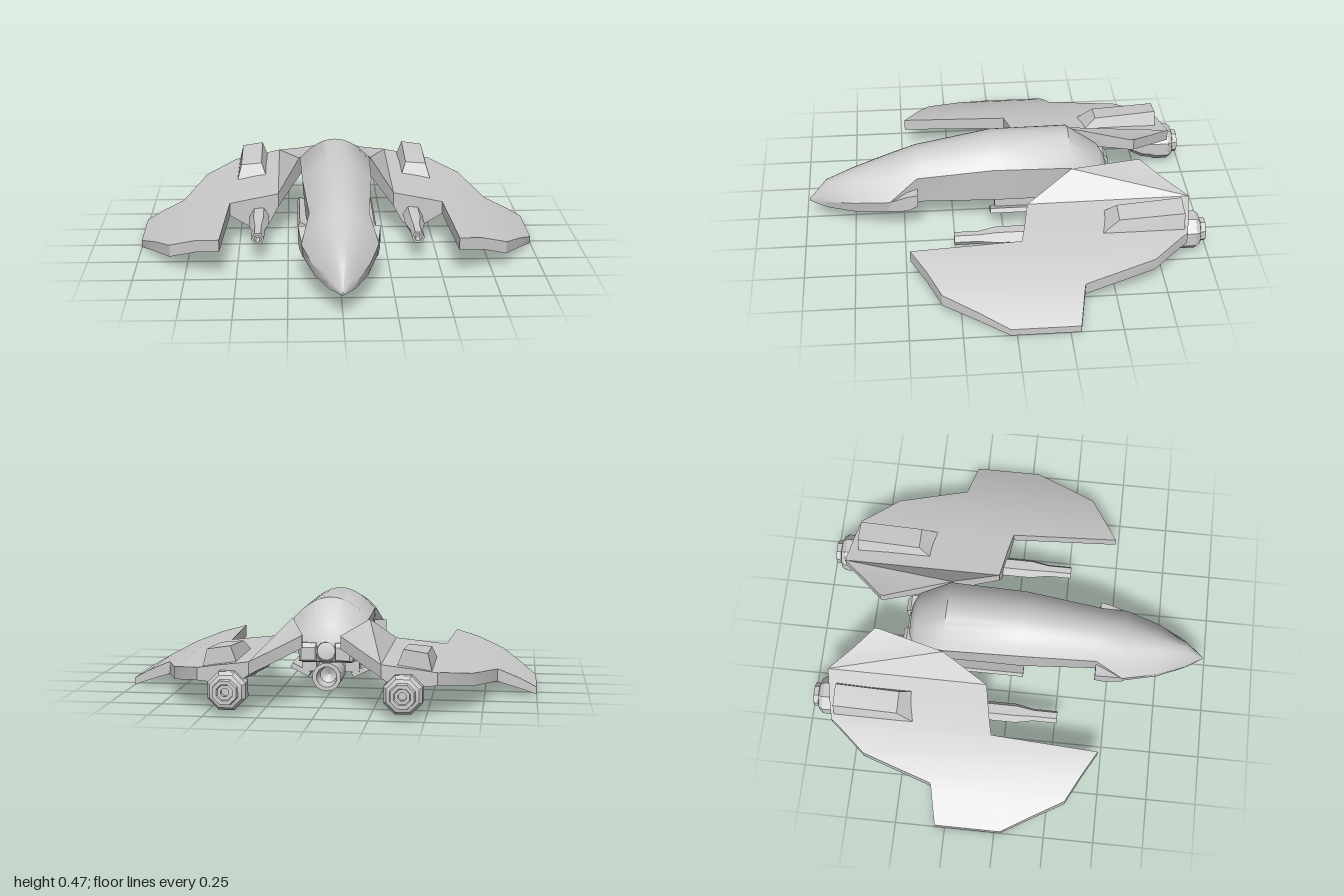
import * as THREE from 'three';
import { toCreasedNormals } from 'three/addons/utils/BufferGeometryUtils.js';

const material = new THREE.MeshStandardMaterial({ color: 0xcccccc });

// Skin a row of rings (equal point counts) and cap both ends
function loft(rings, crease = 0.5) {
  const n = rings[0].length, last = (rings.length - 1) * n, index = [];
  for (let i = 0; i < rings.length - 1; i++) {
    for (let j = 0; j < n; j++) {
      const a = i * n + j, b = i * n + (j + 1) % n;
      index.push(a, b, a + n, b, b + n, a + n);
    }
  }
  for (let j = 1; j < n - 1; j++) {
    index.push(0, j + 1, j);
    index.push(last, last + j, last + j + 1);
  }
  const g = new THREE.BufferGeometry();
  g.setAttribute('position', new THREE.Float32BufferAttribute(rings.flat(2), 3));
  g.setIndex(index);
  return toCreasedNormals(g, crease);
}

// Rectangular ring across z: [x0, x1, y0, y1, z]
const rect = ([x0, x1, y0, y1, z]) => [[x0, y0, z], [x1, y0, z], [x1, y1, z], [x0, y1, z]];

// Turned part along z, profile points are [radius, z] from rear to front
function turned(profile, sides, crease, x, y) {
  const g = new THREE.LatheGeometry(profile.map(p => new THREE.Vector2(...p)), sides, Math.PI / sides);
  g.rotateX(Math.PI / 2).translate(x, y, 0);
  g.deleteAttribute('uv');
  g.deleteAttribute('normal');
  return toCreasedNormals(g, crease);
}

// Mirrored copy across x with the corner order reversed
function mirrored(source) {
  const g = source.clone().scale(-1, 1, 1);
  for (const name of ['position', 'normal']) {
    const a = g.attributes[name];
    for (let i = 0; i < a.count; i += 3) {
      const p = [a.getX(i), a.getY(i), a.getZ(i)];
      a.setXYZ(i, a.getX(i + 1), a.getY(i + 1), a.getZ(i + 1));
      a.setXYZ(i + 1, ...p);
    }
  }
  return g;
}

export function createModel() {
  const model = new THREE.Group();
  model.name = 'starfighter';
  const add = (name, geometry) => {
    const mesh = new THREE.Mesh(geometry, material);
    mesh.name = name;
    model.add(mesh);
  };
  const addPair = (name, geometry) => {
    add(name + 'Left', geometry);
    add(name + 'Right', mirrored(geometry));
  };

  // Fuselage: z, top y, crease half width, crease y, bottom half width, bottom y
  const hull = [
    [-0.53, 0.30, 0.10, 0.25, 0.09, 0.18],
    [-0.50, 0.35, 0.14, 0.28, 0.12, 0.17],
    [-0.34, 0.465, 0.185, 0.36, 0.16, 0.17],
    [0.05, 0.465, 0.175, 0.36, 0.16, 0.17],
    [0.43, 0.395, 0.145, 0.31, 0.13, 0.16],
    [0.57, 0.345, 0.185, 0.20, 0.175, 0.135],
    [0.75, 0.28, 0.135, 0.17, 0.125, 0.112],
    [0.89, 0.225, 0.07, 0.14, 0.06, 0.10],
    [0.98, 0.115, 0.004, 0.11, 0.004, 0.105],
  ];
  add('fuselage', loft(hull.map(([z, top, w, cy, bw, by]) => {
    const ring = [[bw, by, z]];
    for (let i = 0; i <= 14; i++) {
      const t = 1 - i / 7;
      ring.push([w * t, cy + (top - cy) * (1 - t * t), z]);
    }
    ring.push([-bw, by, z]);
    return ring;
  }), 0.6));

  // Wing: x, rear z, front z, rear top y, front top y, rear and front thickness
  const wing = [
    [0.09, -0.70, -0.68, 0.33, 0.33, 0.06, 0.06],
    [0.19, -0.80, -0.34, 0.285, 0.36, 0.06, 0.10],
    [0.30, -0.92, -0.11, 0.24, 0.235, 0.06, 0.07],
    [0.35, -0.91, -0.10, 0.232, 0.228, 0.09, 0.155],
    [0.46, -0.89, -0.08, 0.216, 0.213, 0.08, 0.14],
    [0.55, -0.87, -0.06, 0.20, 0.20, 0.06, 0.065],
    [0.58, -0.83, 0.48, 0.194, 0.194, 0.06, 0.06],
    [0.70, -0.69, 0.41, 0.168, 0.168, 0.06, 0.06],
    [0.81, -0.34, 0.35, 0.128, 0.128, 0.06, 0.06],
    [0.83, -0.335, 0.34, 0.12, 0.12, 0.06, 0.06],
    [0.92, -0.317, 0.175, 0.08, 0.08, 0.05, 0.05],
    [1.00, -0.30, 0.03, 0.036, 0.036, 0.036, 0.036],
  ];
  addPair('wing', loft(wing.map(([x, zr, zf, yr, yf, tr, tf]) =>
    [[x, yf - tf, zf], [x, yr - tr, zr], [x, yr, zr], [x, yf, zf]]), 0.6));

  // Raised housing on each wing
  addPair('wingHousing', loft([
    [0.35, 0.53, 0.18, 0.19, -0.86],
    [0.35, 0.53, 0.18, 0.19, -0.43],
  ].map(([x0, x1, y0, , z]) => {
    const front = z > -0.5;
    return [[x0, y0, z], [x1, y0, z],
      [0.505, front ? 0.265 : 0.285, front ? -0.54 : z],
      [0.395, front ? 0.275 : 0.302, front ? -0.54 : z]];
  }), 0.2));

  // Engines with stepped, hollow exhausts
  addPair('engine', turned([
    [0, -0.95], [0.02, -0.95], [0.02, -0.975], [0.036, -0.975], [0.04, -0.985],
    [0.058, -0.985], [0.062, -0.96], [0.08, -0.955], [0.095, -0.935], [0.095, -0.87],
    [0.085, -0.84], [0.08, -0.80], [0.05, -0.74], [0, -0.72],
  ], 8, 0.3, 0.4, 0.107));

  // Wing guns with hollow muzzles
  addPair('gun', turned([
    [0, -0.4], [0.05, -0.4], [0.05, 0.05], [0.032, 0.14], [0.032, 0.26],
    [0.02, 0.26], [0.016, 0.2], [0, 0.2],
  ], 6, 0.3, 0.4, 0.12));

  // Cheek intakes behind the nose
  addPair('cheekIntake', loft([
    [0.12, 0.20, 0.18, 0.245, 0.43],
    [0.12, 0.195, 0.15, 0.235, 0.48],
    [0.12, 0.18, 0.14, 0.195, 0.575],
  ].map(rect), 0.2));

  // Tilted plates along the belly
  const plate = new THREE.BoxGeometry(0.1, 0.025, 0.42);
  plate.deleteAttribute('uv');
  plate.rotateZ(0.45).translate(0.15, 0.105, -0.145);
  addPair('bellyPlate', toCreasedNormals(plate, 0.2));
  addPair('plateStrut', loft([
    [0.07, 0.14, 0.10, 0.20, -0.36],
    [0.07, 0.14, 0.10, 0.20, 0.04],
  ].map(rect), 0.2));

  // Tail nozzle blocks
  addPair('tailBlock', loft([
    [0.05, 0.115, 0.19, 0.25, -0.56],
    [0.045, 0.13, 0.18, 0.27, -0.54],
    [0.045, 0.13, 0.18, 0.27, -0.42],
  ].map(rect), 0.2));

  // Belly tank with an open rear end, and the tail exhaust above it
  add('bellyTank', turned([
    [0, -0.42], [0.04, -0.44], [0.05, -0.51], [0.07, -0.51], [0.07, -0.33],
    [0.06, -0.31], [0.06, -0.1], [0, -0.06],
  ], 12, 0.6, 0, 0.1));
  add('tailExhaust', turned([
    [0, -0.47], [0.035, -0.49], [0.045, -0.54], [0.055, -0.53], [0.06, -0.4], [0, -0.4],
  ], 16, 0.6, 0, 0.23));

  return model;
}
